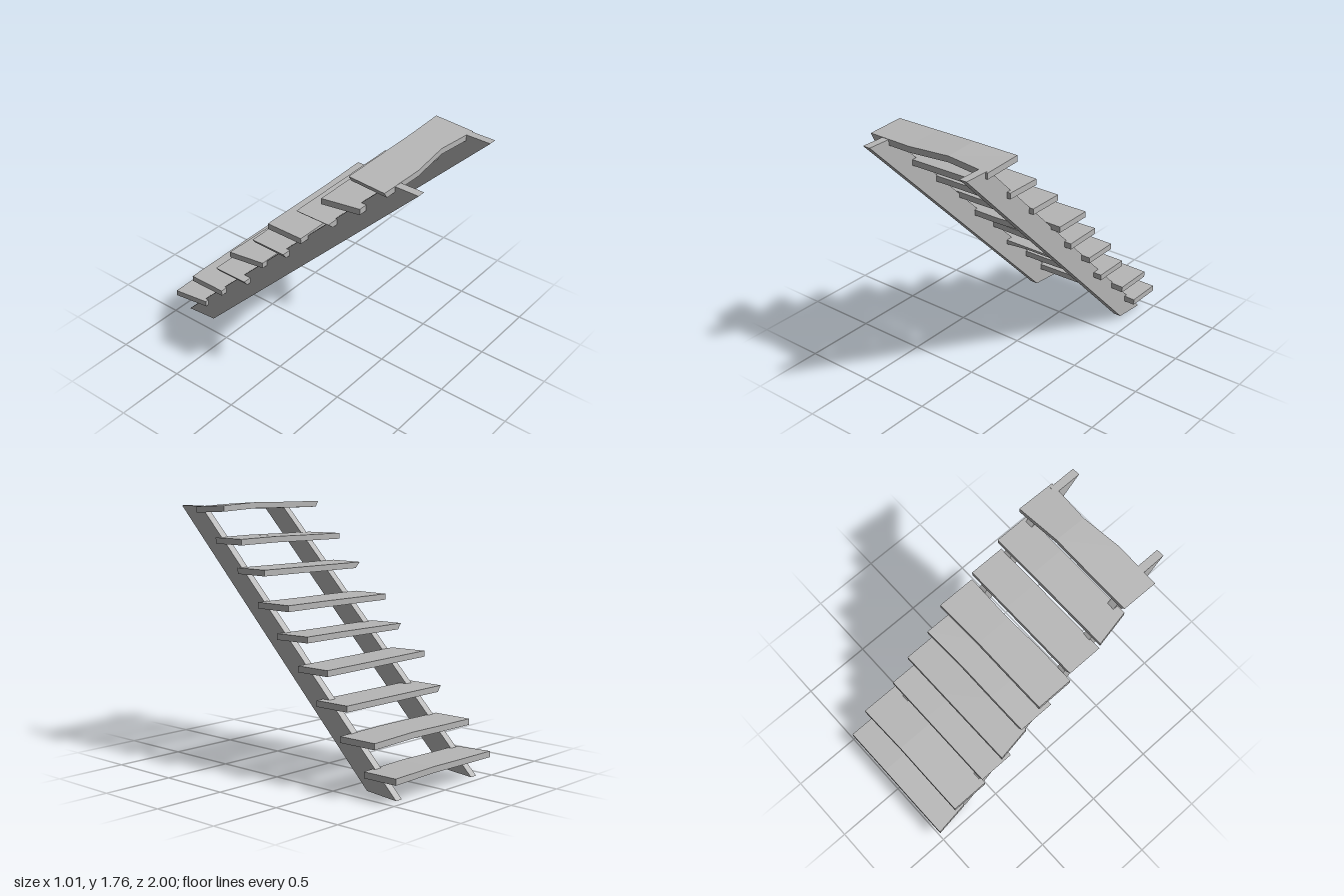
import * as THREE from 'three';

// Solid running along +x through four-cornered rings:
// front-top, back-top, back-bottom, front-bottom (each [x, y, z])
function loft(rings) {
  const pos = [];
  const quad = (a, b, c, d) => pos.push(...a, ...b, ...c, ...a, ...c, ...d);
  for (let i = 0; i < rings.length - 1; i++) {
    for (let k = 0; k < 4; k++) {
      const n = (k + 1) % 4;
      quad(rings[i][k], rings[i + 1][k], rings[i + 1][n], rings[i][n]);
    }
  }
  const last = rings[rings.length - 1];
  quad(...rings[0]);
  quad(last[3], last[2], last[1], last[0]);
  const g = new THREE.BufferGeometry();
  g.setAttribute('position', new THREE.Float32BufferAttribute(pos, 3));
  g.computeVertexNormals();
  return g;
}

// Treads from foot to head: underside height, front z, back z, left and right ends.
// splay: left end reaches out at the back; undercut: left end slopes in below;
// rise: height gained to the right; bow: lift of the middle; hollow: lift of the
// front lower edge; wave: wander of the long edges; tilt: lift of the back edge
const treads = [
  { y: 0.125, front: -0.745, back: -1, left: -0.44, right: 0.485, splay: 0.035, bow: 0.008 },
  { y: 0.32, front: -0.56, back: -0.84, left: -0.46, right: 0.5, bow: 0.008, wave: 0.005 },
  { y: 0.511, front: -0.33, back: -0.59, left: -0.47, right: 0.47, undercut: 0.03, hollow: 0.025 },
  { y: 0.727, front: -0.175, back: -0.43, left: -0.45, right: 0.477, splay: 0.04, rise: -0.012 },
  { y: 0.896, front: 0.025, back: -0.24, left: -0.47, right: 0.465, undercut: 0.03, rise: 0.006, wave: 0.007, tilt: 0.005 },
  { y: 1.092, front: 0.18, back: -0.095, left: -0.475, right: 0.487, rise: 0.004, wave: 0.006 },
  { y: 1.298, front: 0.41, back: 0.155, left: -0.485, right: 0.45, undercut: 0.045, rise: 0.006 },
  { y: 1.491, front: 0.63, back: 0.375, left: -0.46, right: 0.445, splay: 0.05, rise: 0.003, bow: 0.005 },
  { y: 1.7, front: 0.83, back: 0.565, left: -0.495, right: 0.437, undercut: 0.025, rise: -0.004, bow: 0.011, wave: 0.016, tilt: 0.015 },
];

function treadGeometry({ y, front, back, left, right, splay = 0, undercut = 0,
  rise = 0, bow = 0, hollow = 0, wave = 0, tilt = 0 }) {
  const thickness = 0.041;
  const rings = [left, -0.17, 0.12, right].map((x, i) => {
    const low = y + rise * i / 3 + bow * [0, 0.4, 1, 0][i];
    const top = low + thickness;
    const inner = i === 1 || i === 2;
    const zf = front + wave * [0, 0.6, -1.4, 0][i];
    const zb = back + wave * [0.3, 0.3, 0.5, -0.9][i];
    const out = i === 0 ? splay : 0;
    const cut = i === 0 ? undercut : 0;
    return [
      [x, top, zf],
      [x - out, top + tilt, zb],
      [x - out + cut, low + tilt, zb],
      [x + cut, low + (inner ? hollow : 0), zf],
    ];
  });
  return loft(rings);
}

// Sloping rail with a level-cut head; leans slightly sideways from foot to head
function stringerGeometry(xFoot, xHead) {
  const profile = [[1.74, 1], [1.74, 0.8], [0, -0.935], [0.02, -0.7]];
  return loft([-0.0275, 0.0275].map((side) =>
    profile.map(([y, z]) => [xFoot + (xHead - xFoot) * y / 1.74 + side, y, z])));
}

export function createModel() {
  const group = new THREE.Group();
  const grey = new THREE.MeshStandardMaterial({ color: 0xb6b6b6 });
  grey.name = 'plain grey';
  const add = (name, geometry) => {
    const mesh = new THREE.Mesh(geometry, grey);
    mesh.name = name;
    group.add(mesh);
  };
  add('rightStringer', stringerGeometry(-0.388, -0.368));
  add('leftStringer', stringerGeometry(0.376, 0.395));
  treads.forEach((t, i) => add('tread' + (i + 1), treadGeometry(t)));
  return group;
}
